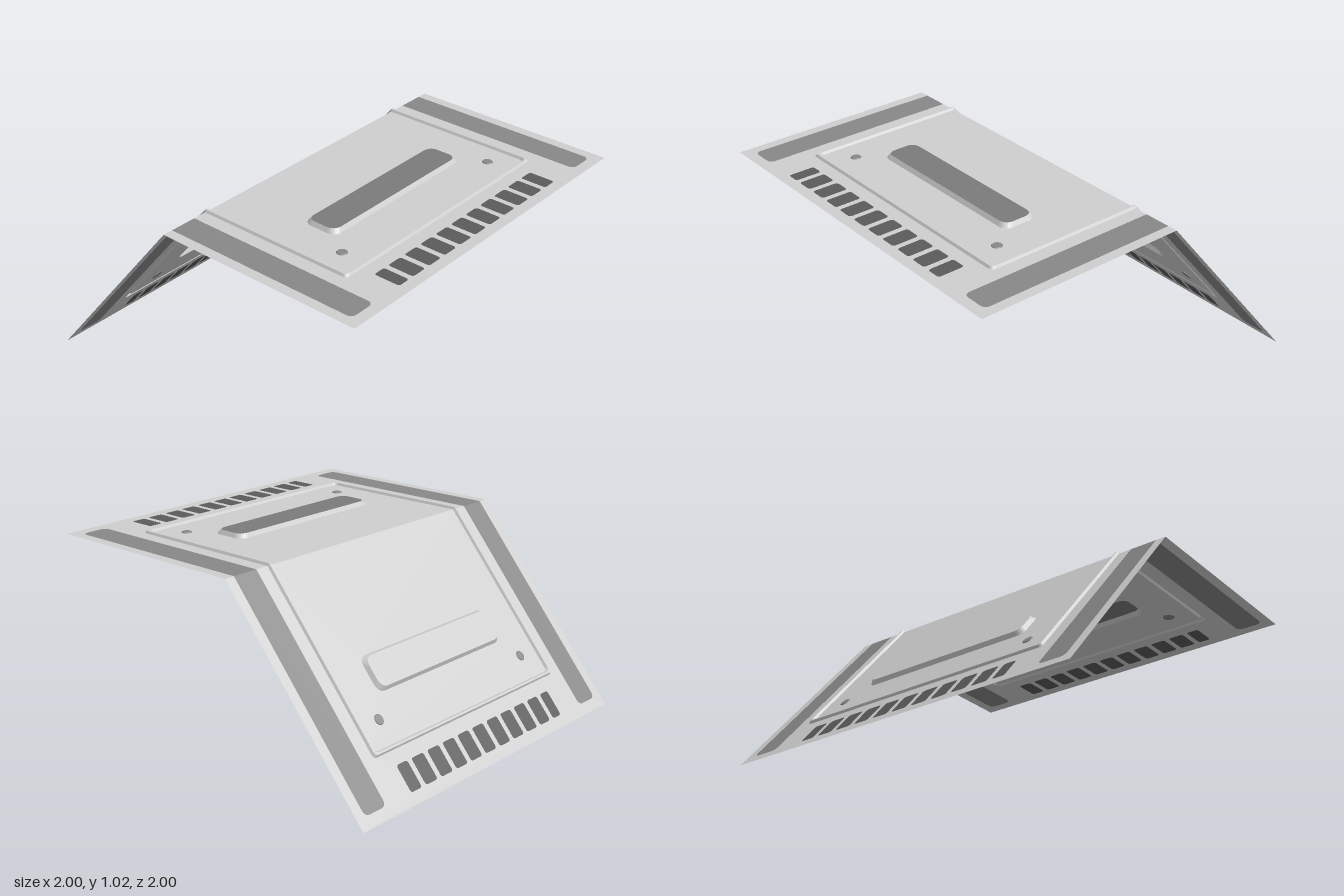
import * as THREE from 'three';

const mat = (name, color) => new THREE.MeshStandardMaterial({ name, color, side: THREE.DoubleSide });

const BEND_Z = -0.16;
const FLAT = 1 - BEND_Z;                       // length of the level half
const SLOPE = Math.hypot(FLAT - 0.32, 1);      // length of the sloping half
const MITRE = Math.tan(Math.atan2(1, 0.84) / 2);

// Quarter-circle points for a rounded corner
function corner(cx, cy, r, start) {
  const pts = [];
  for (let i = 0; i <= 6; i++) {
    const a = start + (i / 6) * Math.PI / 2;
    pts.push(new THREE.Vector2(cx + r * Math.cos(a), cy + r * Math.sin(a)));
  }
  return pts;
}

// U-shaped outline, open at the bend, rounded at its outer end
function openPath(x0, x1, v0, end, r, inset = 0) {
  const a = x0 + inset, b = x1 - inset, v = v0 + inset;
  return [
    new THREE.Vector2(a, end),
    ...corner(a + r, v + r, r, Math.PI),
    ...corner(b - r, v + r, r, Math.PI * 1.5),
    new THREE.Vector2(b, end),
  ];
}

// Closed rounded rectangle
function roundRect(x0, x1, v0, v1, r, inset = 0) {
  const a = x0 + inset, b = x1 - inset, c = v0 + inset, d = v1 - inset;
  return [
    ...corner(a + r, c + r, r, Math.PI),
    ...corner(b - r, c + r, r, Math.PI * 1.5),
    ...corner(b - r, d - r, r, 0),
    ...corner(a + r, d - r, r, Math.PI / 2),
  ];
}

// Surface through successive outlines, each at its own height
function loft(rings, closed) {
  const pos = [], idx = [], n = rings[0].pts.length;
  for (const { pts, h } of rings) for (const p of pts) pos.push(p.x, p.y, h);
  for (let k = 0; k < rings.length - 1; k++) {
    for (let i = 0; i < (closed ? n : n - 1); i++) {
      const j = (i + 1) % n, a = k * n + i, b = k * n + j;
      idx.push(a, b, b + n, a, b + n, a + n);
    }
  }
  const g = new THREE.BufferGeometry();
  g.setAttribute('position', new THREE.Float32BufferAttribute(pos, 3));
  g.setIndex(idx);
  const flat = g.toNonIndexed();
  flat.computeVertexNormals();
  return flat;
}

export function createModel() {
  const sheetMat = mat('light grey sheet', 0xcfcfcf);
  const stripMat = mat('mid grey strip', 0x888888);
  const slotMat = mat('dark grey slot', 0x5b5b5b);
  const handleMat = mat('grey recess', 0x7b7b7b);

  function buildHalf(name, L, flip, handleTopMat) {
    const half = new THREE.Group();
    half.name = name;
    const add = (partName, geo, m) => {
      const mesh = new THREE.Mesh(geo, m);
      mesh.name = partName;
      half.add(mesh);
      return mesh;
    };
    const fill = (partName, pts, m, holes = []) => {
      const shape = new THREE.Shape(pts);
      shape.holes = holes.map((h) => new THREE.Path(h));
      return add(partName, new THREE.ShapeGeometry(shape), m);
    };

    // Row of vent slots, the outermost ones narrower
    const slots = [];
    for (let i = 0; i < 11; i++) {
      const c = -0.005 + (i - 5) * 0.118;
      let a = i === 0 ? -0.62 : c - 0.044, b = i === 10 ? 0.62 : c + 0.044;
      if (flip) [a, b] = [-b, -a];
      slots.push(roundRect(a, b, 0.06, 0.203, 0.014));
    }
    slots.forEach((s) => fill('ventSlot', s, slotMat));

    // Border sheet, cut away for the strips, the panel and the slots
    const strips = [[-0.945, -0.8], [0.8, 0.945]].map(([a, b]) => openPath(a, b, 0.06, L, 0.03));
    const panel = (inset, end = L) => openPath(-0.727, 0.727, 0.274, end, 0.022, inset);
    const outline = [
      new THREE.Vector2(-1, 0), new THREE.Vector2(1, 0), new THREE.Vector2(1, L),
      ...strips[1].slice().reverse(),
      ...panel(0).reverse(),
      ...strips[0].slice().reverse(),
      new THREE.Vector2(-1, L),
    ];
    fill('borderSheet', outline, sheetMat, slots);
    strips.forEach((s) => fill('sideStrip', s, stripMat));

    // Raised bead around the panel, mitred at the bend
    const bead = [[0, 0], [0.008, 0.012], [0.018, 0.012], [0.026, 0]];
    add('panelBead', loft(bead.map(([inset, h]) => ({ pts: panel(inset, L + h * MITRE), h })), false), sheetMat);

    // Centre panel with an embossed grip and two screws
    const grip = (inset) => roundRect(-0.49, 0.49, 0.545, 0.74, 0.045, inset);
    fill('centrePanel', panel(0.026), sheetMat, [grip(0)]);
    add('gripWall', loft([{ pts: grip(0), h: 0 }, { pts: grip(0.014), h: 0.022 }], true), sheetMat);
    fill('gripTop', grip(0.014), handleTopMat).position.z = 0.022;
    for (const x of [-0.573, 0.573]) {
      const head = add('screwHead', new THREE.CylinderGeometry(0.024, 0.032, 0.008, 20), stripMat);
      head.rotation.x = Math.PI / 2;
      head.position.set(x, 0.43, 0);
    }
    return half;
  }

  const model = new THREE.Group();
  model.name = 'foldedPanel';

  // Level front half
  const level = buildHalf('levelHalf', FLAT, false, handleMat);
  level.rotation.x = -Math.PI / 2;
  level.position.set(0, 1, 1);

  // Sloping back half, running from the rear ground edge up to the bend
  const slope = buildHalf('slopingHalf', SLOPE, true, sheetMat);
  const up = new THREE.Vector3(0, 1, 0.84).normalize();
  const side = new THREE.Vector3(-1, 0, 0);
  slope.quaternion.setFromRotationMatrix(
    new THREE.Matrix4().makeBasis(side, up, new THREE.Vector3().crossVectors(side, up)));
  slope.position.set(0, 0, -1);

  model.add(level, slope);
  return model;
}
